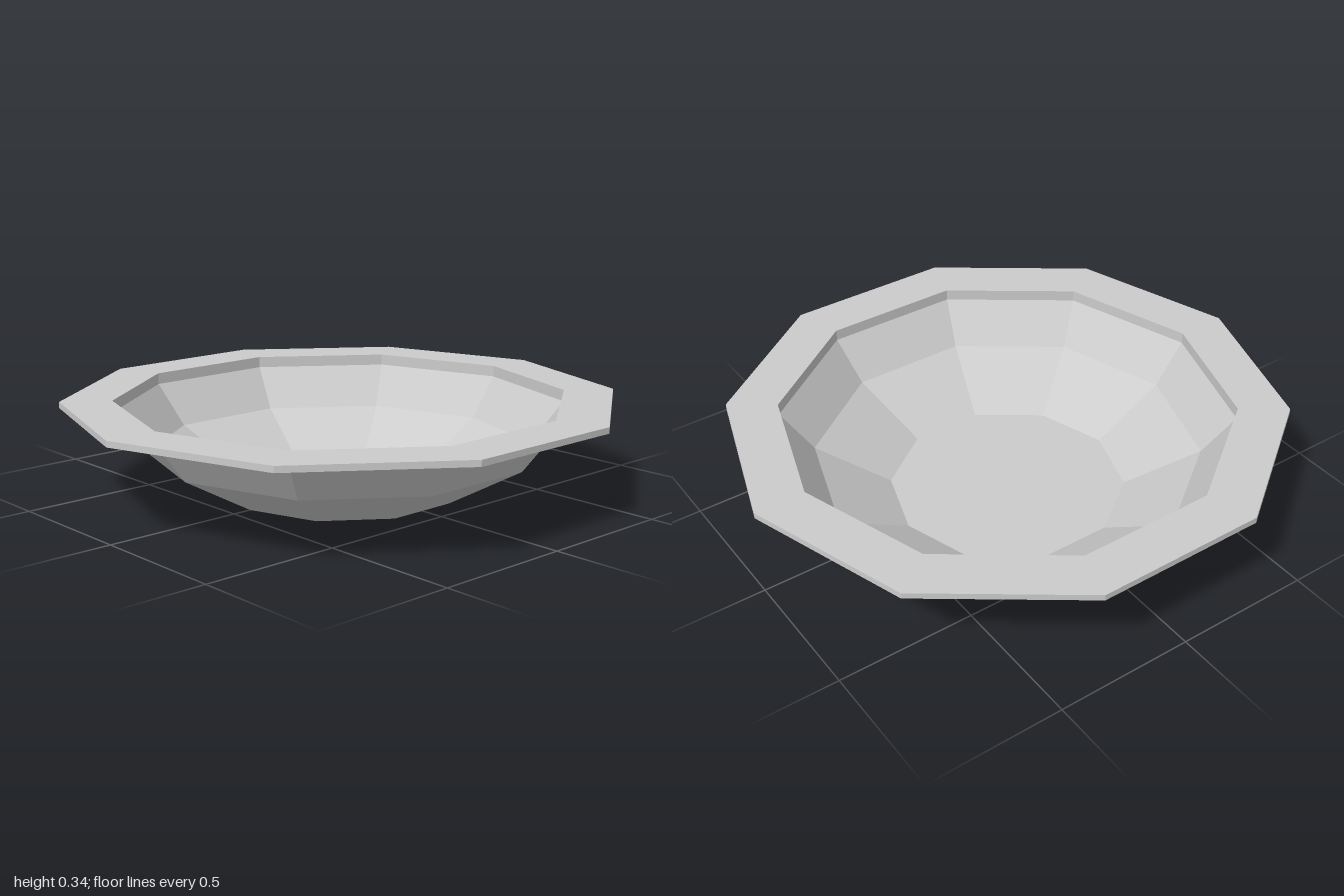
import * as THREE from 'three';

const SIDES = 10;

// Faceted ring of revolution from [radius, height] pairs
function turned(name, profile, material) {
  const points = profile.map(([r, y]) => new THREE.Vector2(r, y));
  const geometry = new THREE.LatheGeometry(points, SIDES).toNonIndexed();
  geometry.computeVertexNormals();
  const mesh = new THREE.Mesh(geometry, material);
  mesh.name = name;
  return mesh;
}

export function createModel() {
  const group = new THREE.Group();
  group.name = 'bowl';
  const material = new THREE.MeshStandardMaterial({
    color: 0xcccccc, flatShading: true, side: THREE.DoubleSide,
  });

  // Thin basin: flat floor, two sloped bands and a short upright collar
  group.add(turned('basin', [[0, 0], [0.43, 0], [0.7, 0.15], [0.815, 0.3], [0.815, 0.32]], material));

  // Wide flat rim with a rectangular section
  group.add(turned('rim', [[0.815, 0.32], [1, 0.32], [1, 0.342], [0.815, 0.342], [0.815, 0.32]], material));

  return group;
}
